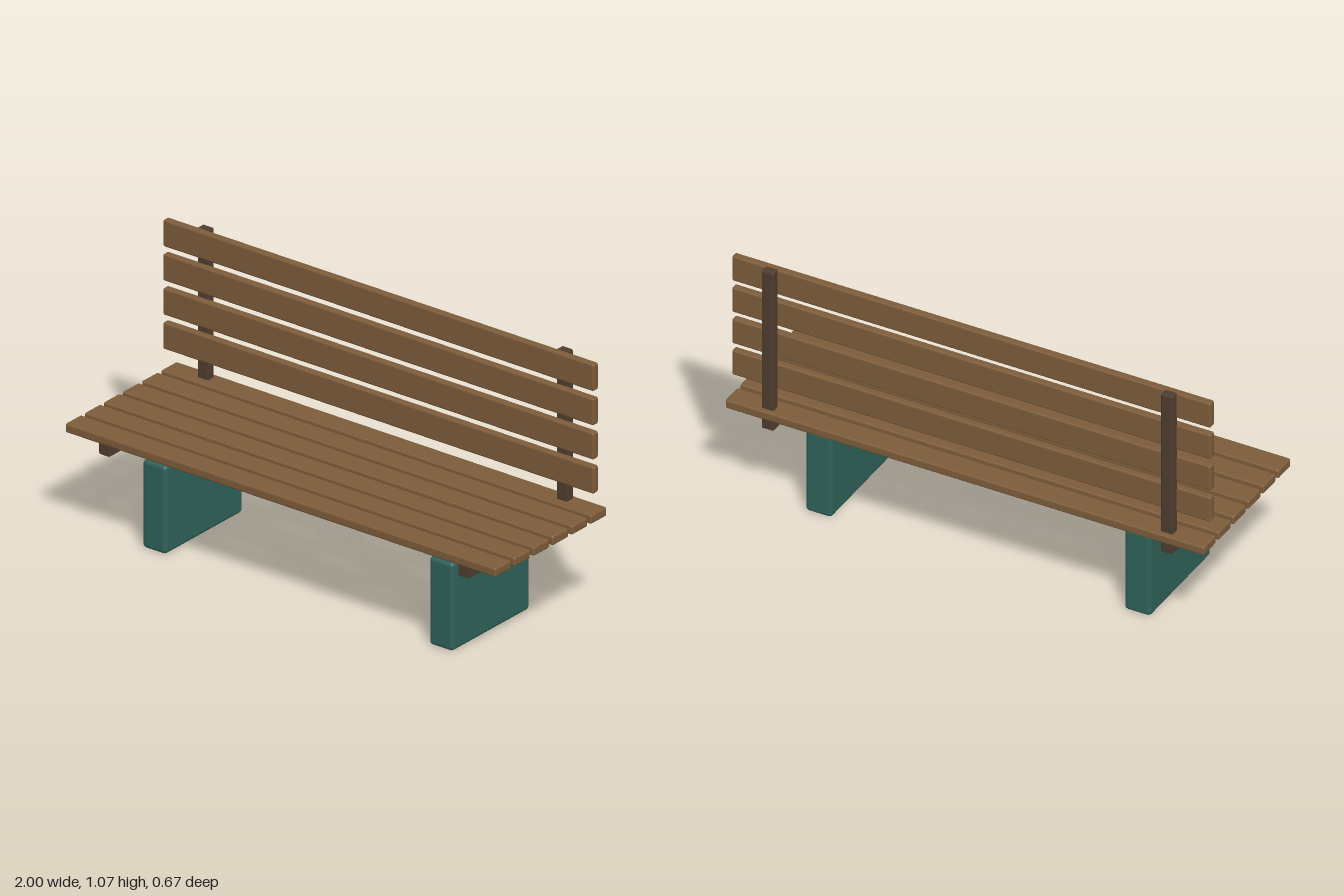
import * as THREE from 'three';
import { RoundedBoxGeometry } from 'three/addons/geometries/RoundedBoxGeometry.js';

const wood = new THREE.MeshStandardMaterial({ color: 0x7d5c3a });
const darkWood = new THREE.MeshStandardMaterial({ color: 0x4f3d2f });
const green = new THREE.MeshStandardMaterial({ color: 0x2f625a });

// Softly rounded block given by its size and centre
function block(name, material, size, centre, radius) {
  const mesh = new THREE.Mesh(new RoundedBoxGeometry(...size, 3, radius), material);
  mesh.name = name;
  mesh.position.set(...centre);
  return mesh;
}

export function createModel() {
  const bench = new THREE.Group();
  bench.name = 'bench';

  // Seat: six planks running the full width
  const seat = new THREE.Group();
  seat.name = 'seat';
  for (let i = 0; i < 6; i++) {
    const z = 0.285 - i * 0.114;
    seat.add(block('seatSlat' + (i + 1), wood, [2, 0.037, 0.095], [0, 0.442, z], 0.008));
  }

  // Backrest: four upright planks
  const backrest = new THREE.Group();
  backrest.name = 'backrest';
  for (let i = 0; i < 4; i++) {
    const y = 0.596 + i * 0.139;
    backrest.add(block('backSlat' + (i + 1), wood, [2, 0.109, 0.032], [0, y, -0.266], 0.008));
  }
  bench.add(seat, backrest);

  // Mirrored supports: rail under the seat, back post and solid foot
  for (const [side, s] of [['left', 1], ['right', -1]]) {
    const support = new THREE.Group();
    support.name = side + 'Support';
    support.add(
      block('seatRail', darkWood, [0.05, 0.05, 0.624], [s * 0.834, 0.395, 0], 0.005),
      block('backPost', darkWood, [0.05, 0.65, 0.037], [s * 0.834, 0.743, -0.2935], 0.005),
      block('foot', green, [0.11, 0.358, 0.464], [s * 0.666, 0.179, 0], 0.016),
    );
    bench.add(support);
  }
  return bench;
}
